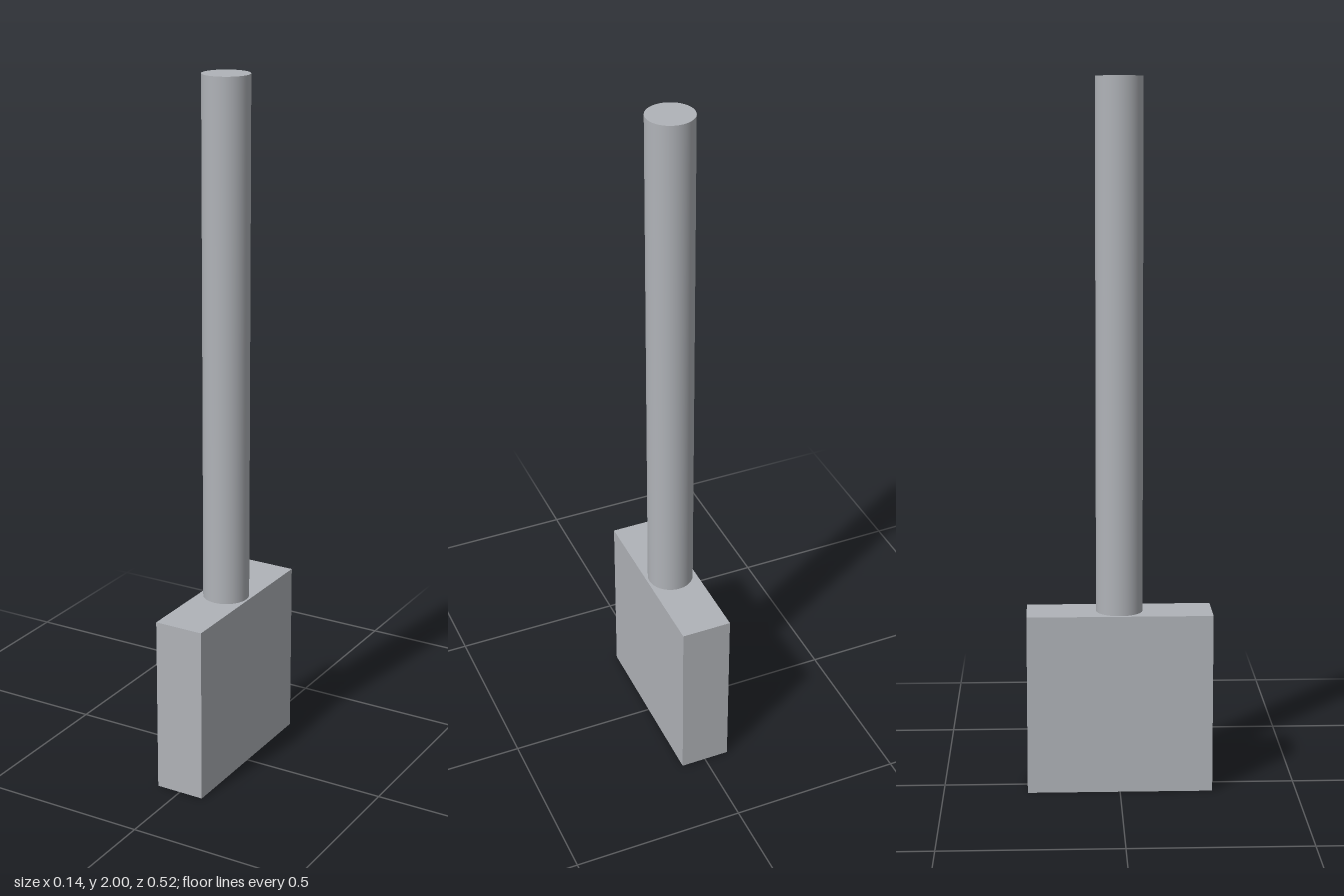
import * as THREE from 'three';

const HEIGHT = 2;
const HEAD = { width: 0.145, height: 0.512, depth: 0.524 };
const HANDLE_RADIUS = 0.066;

export function createModel() {
  const model = new THREE.Group();
  model.name = 'mallet';

  const metal = new THREE.MeshStandardMaterial({ color: 0xb0b3b8 });
  metal.name = 'light grey metal';

  // Slab-shaped head standing on the ground
  const head = new THREE.Mesh(new THREE.BoxGeometry(HEAD.width, HEAD.height, HEAD.depth), metal);
  head.name = 'head';
  head.position.y = HEAD.height / 2;
  model.add(head);

  // Round handle rising from the middle of the head
  const length = HEIGHT - HEAD.height;
  const handle = new THREE.Mesh(new THREE.CylinderGeometry(HANDLE_RADIUS, HANDLE_RADIUS, length, 64), metal);
  handle.name = 'handle';
  handle.position.y = HEAD.height + length / 2;
  model.add(handle);

  return model;
}
